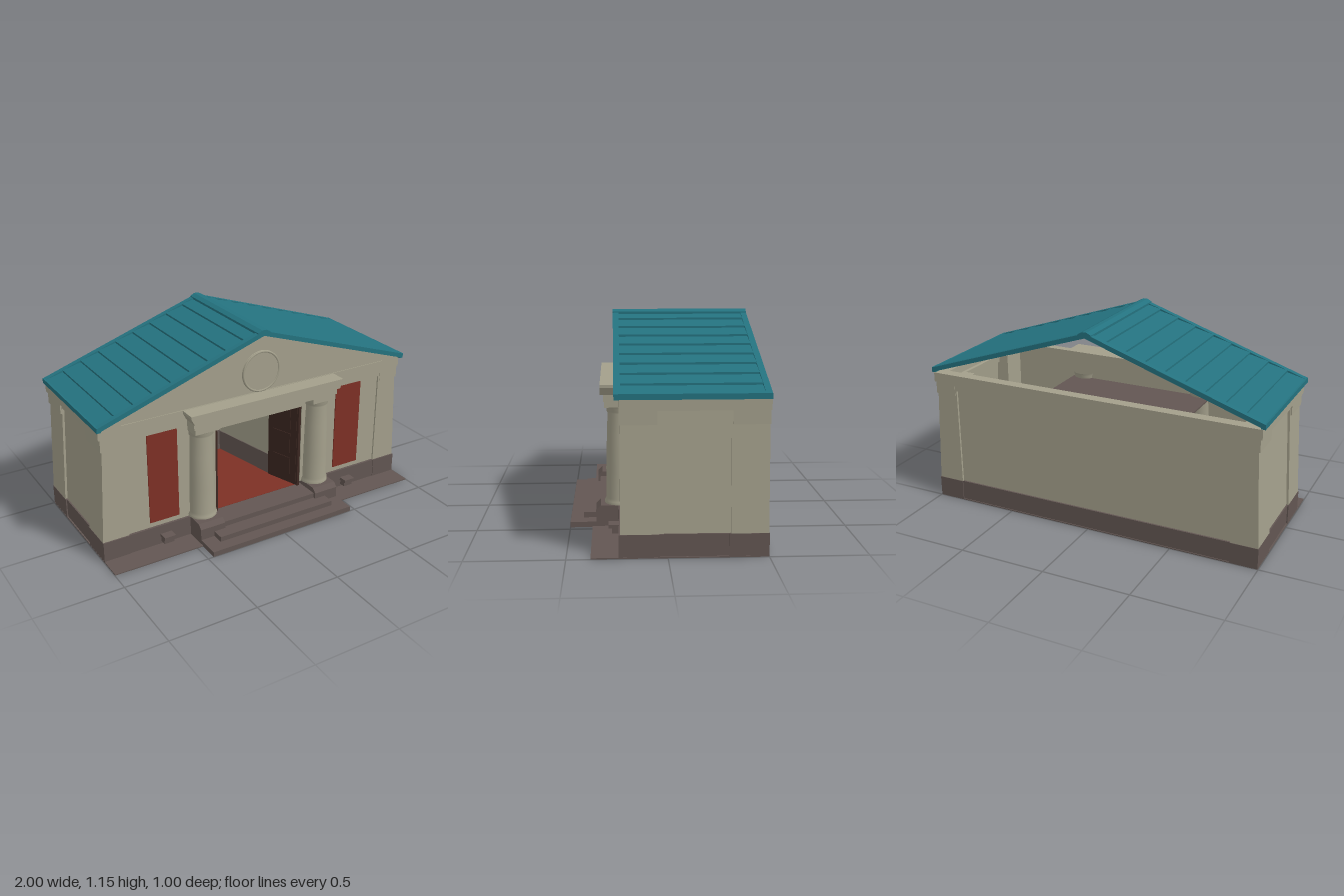
import * as THREE from 'three';

const paint = (name, color) => {
  const m = new THREE.MeshStandardMaterial({ color });
  m.name = name;
  return m;
};

export function createModel() {
  const stone = paint('pale stone', 0xa39f8b);
  const base = paint('brown stone', 0x62565280 >>> 8);
  const teal = paint('teal roof', 0x24727f);
  const red = paint('red cloth', 0x7d3025);
  const wood = paint('dark wood', 0x3c2721);

  const root = new THREE.Group();
  root.name = 'templeHall';

  const add = (name, geo, mat) => {
    const m = new THREE.Mesh(geo, mat);
    m.name = name;
    root.add(m);
    return m;
  };
  // Box given by its minimum and maximum corners
  const boxGeo = (x0, x1, y0, y1, z0, z1) =>
    new THREE.BoxGeometry(x1 - x0, y1 - y0, z1 - z0)
      .translate((x0 + x1) / 2, (y0 + y1) / 2, (z0 + z1) / 2);
  const box = (name, mat, ...b) => add(name, boxGeo(...b), mat);
  // Same, mirrored by s
  const sideBox = (name, mat, s, x0, x1, ...b) =>
    add(name, s > 0 ? boxGeo(x0, x1, ...b) : boxGeo(-x1, -x0, ...b), mat);
  // Lean the outer faces of the walls inwards with height
  const batter = (mesh) => {
    const p = mesh.geometry.attributes.position;
    for (let i = 0; i < p.count; i++) {
      const x = p.getX(i);
      if (Math.abs(x) > 0.9) p.setX(i, x - Math.sign(x) * 0.05 * (p.getY(i) - 0.12));
    }
    mesh.geometry.computeVertexNormals();
    return mesh;
  };
  const poly = (pts) => new THREE.Shape(pts.map(([x, y]) => new THREE.Vector2(x, y)));
  const extrude = (shape, z0, z1) =>
    new THREE.ExtrudeGeometry(shape, { depth: z1 - z0, bevelEnabled: false, curveSegments: 16 }).translate(0, 0, z0);
  // Upright board between two floor points
  const board = (name, mat, a, b, y0, y1, t) => {
    const dx = b[0] - a[0], dz = b[1] - a[1];
    const m = add(name, new THREE.BoxGeometry(t, y1 - y0, Math.hypot(dx, dz)), mat);
    m.position.set((a[0] + b[0]) / 2, (y0 + y1) / 2, (a[1] + b[1]) / 2);
    m.rotation.y = Math.atan2(dx, dz);
    return m;
  };

  // Ground slab, plinth, porch and steps
  box('groundSlab', base, -0.998, 0.998, 0, 0.006, -0.5, 0.38);
  box('plinth', base, -0.99, 0.99, 0, 0.088, -0.495, 0.235);
  box('plinthBack', base, -0.99, 0.99, 0, 0.12, -0.495, -0.44);
  box('porchFloor', base, -0.32, 0.32, 0, 0.09, 0.2, 0.345);
  box('upperStep', base, -0.38, 0.38, 0, 0.06, 0.33, 0.43);
  box('lowerStep', base, -0.465, 0.465, 0, 0.03, 0.33, 0.5);

  // Front wall with doorway
  const front = poly([[-0.95, 0.12], [-0.29, 0.12], [-0.29, 0.62], [0.29, 0.62], [0.29, 0.12],
    [0.95, 0.12], [0.95, 0.74], [-0.95, 0.74]]);
  add('frontWall', extrude(front, 0.19, 0.224), stone);
  box('doorLintel', stone, -0.3, 0.3, 0.62, 0.69, 0.2, 0.232);
  box('frontFrieze', stone, -0.9, 0.9, 0.69, 0.735, 0.2, 0.235);

  // Back wall and cornice
  box('backWall', stone, -0.9, 0.9, 0.12, 0.75, -0.485, -0.46);
  box('backFrieze', stone, -0.9, 0.9, 0.69, 0.735, -0.497, -0.46);
  box('backCornice', stone, -0.985, 0.985, 0.73, 0.785, -0.502, -0.44);
  box('frontCornice', stone, -0.985, 0.985, 0.73, 0.785, 0.19, 0.238);

  for (const s of [-1, 1]) {
    // Plinth edging under the walls
    sideBox('plinthFront', base, s, 0.46, 0.99, 0, 0.12, 0.18, 0.238);
    sideBox('plinthSide', base, s, 0.92, 0.99, 0, 0.12, -0.495, 0.235);
    sideBox('plinthCornerRear', base, s, 0.84, 0.997, 0, 0.12, -0.5, -0.3);
    sideBox('plinthCornerFront', base, s, 0.84, 0.997, 0, 0.12, 0.04, 0.242);

    // Side wall, corner pilasters and their caps
    batter(sideBox('sideWall', stone, s, 0.94, 0.982, 0.12, 0.74, -0.47, 0.21));
    batter(sideBox('frontPilaster', stone, s, 0.84, 0.995, 0.12, 0.74, 0.045, 0.234));
    batter(sideBox('rearPilaster', stone, s, 0.84, 0.995, 0.12, 0.74, -0.497, -0.31));
    batter(sideBox('sideFrieze', stone, s, 0.93, 0.995, 0.695, 0.74, -0.4, 0.2));
    sideBox('frontPilasterCap', stone, s, 0.85, 0.976, 0.66, 0.735, 0.05, 0.237);
    sideBox('rearPilasterCap', stone, s, 0.85, 0.976, 0.66, 0.735, -0.499, -0.315);
    sideBox('sideCornice', stone, s, 0.92, 0.985, 0.73, 0.785, -0.502, 0.238);

    // Red hanging on the front wall
    sideBox('redPanel', red, s, 0.53, 0.71, 0.15, 0.69, 0.223, 0.23);

    // Vent on the plinth
    sideBox('ventBody', base, s, 0.59, 0.65, 0.02, 0.05, 0.23, 0.275);
    sideBox('ventHood', base, s, 0.585, 0.655, 0.05, 0.068, 0.23, 0.292);

    // Pedestal with chamfered front edge
    const ped = extrude(poly([[0.18, 0], [0.36, 0], [0.36, 0.095], [0.335, 0.12], [0.18, 0.12]]), 0, 0.155);
    ped.rotateY(-Math.PI / 2).translate(s > 0 ? 0.465 : -0.31, 0, 0);
    add('pedestal', ped, base);

    // Column with moulded base and neck
    const profile = [[0.084, 0.12], [0.084, 0.135], [0.076, 0.15], [0.075, 0.3], [0.071, 0.5],
      [0.066, 0.62], [0.072, 0.63], [0.072, 0.645], [0.078, 0.66]].map(([r, y]) => new THREE.Vector2(r, y));
    add('column', new THREE.LatheGeometry(profile, 24).translate(s * 0.385, 0, 0.228), stone);
    sideBox('columnCapital', stone, s, 0.308, 0.462, 0.658, 0.69, 0.2, 0.312);

    // Open door leaf with raised panels and jamb
    const hinge = [s * 0.28, 0.2], tip = [s * 0.215, 0.0];
    board('doorLeaf', wood, hinge, tip, 0.09, 0.615, 0.018);
    const along = (t) => [hinge[0] + (tip[0] - hinge[0]) * t - s * 0.009, hinge[1] + (tip[1] - hinge[1]) * t];
    for (const [y0, y1] of [[0.13, 0.26], [0.29, 0.42], [0.45, 0.57]])
      board('doorPanel', wood, along(0.2), along(0.8), y0, y1, 0.009);
    sideBox('doorJamb', wood, s, 0.274, 0.292, 0.09, 0.62, 0.185, 0.218);

    // Hall wall and wainscot
    board('hallWall', stone, [s * 0.225, 0.0], [s * 0.13, -0.45], 0.09, 0.62, 0.012);
    board('hallWainscot', base, [s * 0.218, 0.0], [s * 0.124, -0.45], 0.09, 0.22, 0.01);
  }

  // Hall interior
  box('hallFloor', red, -0.29, 0.29, 0.086, 0.092, -0.45, 0.2);
  box('hallBackWall', base, -0.2, 0.2, 0.09, 0.62, -0.455, -0.445);
  box('hallCeiling', base, -0.45, 0.45, 0.62, 0.63, -0.42, 0.2);

  // Porch beam and entablature
  box('porchBeam', stone, -0.47, 0.47, 0.69, 0.732, 0.2, 0.316);
  add('entablature', extrude(poly([[-0.475, 0.73], [0.475, 0.73], [0.495, 0.77], [0.495, 0.785],
    [-0.495, 0.785], [-0.495, 0.77]]), 0.2, 0.335), stone);

  // Pediment: raking frame, tympanum with sunk fields, backing
  const gable = [[-0.985, 0.785], [0.985, 0.785], [0, 1.115]];
  const frame = poly(gable);
  frame.holes.push(poly([[-0.86, 0.787], [0, 1.078], [0.86, 0.787]]));
  add('pedimentFrame', new THREE.ShapeGeometry(frame).translate(0, 0, 0.24), stone);
  const tympanum = poly([[-0.88, 0.785], [0.88, 0.785], [0, 1.083]]);
  for (const s of [-1, 1]) {
    const field = new THREE.Path();
    field.moveTo(s * 0.71, 0.79);
    field.lineTo(s * 0.23, 1.01);
    field.quadraticCurveTo(s * 0.1, 0.88, s * 0.13, 0.79);
    field.closePath();
    tympanum.holes.push(field);
  }
  add('tympanum', new THREE.ShapeGeometry(tympanum).translate(0, 0, 0.231), stone);
  add('pedimentBacking', new THREE.ShapeGeometry(poly(gable)).translate(0, 0, 0.224), stone);
  add('medallion', new THREE.CylinderGeometry(0.118, 0.122, 0.008, 40)
    .rotateX(Math.PI / 2).translate(0, 0.905, 0.235), stone);
  add('medallionRim', new THREE.TorusGeometry(0.115, 0.007, 6, 40).translate(0, 0.905, 0.237), stone);

  // Roof: lapped boards between two plain end trims
  const slope = 0.335, eave = 0.785;
  const under = (x) => eave + slope * (1 - x);
  const roofShape = (laps, drop) => {
    const half = [[0.997, under(0.997)]];
    for (let i = 0; i < laps; i++) {
      const a = 0.997 - (0.997 * i) / laps, b = 0.997 - (0.997 * (i + 1)) / laps;
      half.push([a, under(a) + 0.027], [b, under(b) + 0.027 - drop]);
    }
    const left = half.slice(0, -1).reverse().map(([x, y]) => [-x, y]);
    return poly([...half, ...left, [0, under(0)]]);
  };
  add('roofBoards', extrude(roofShape(9, 0.011), -0.48, 0.24), teal);
  for (const z of [-0.502, 0.23])
    add('roofEndTrim', extrude(roofShape(1, 0), z, z + 0.032), teal);
  for (const s of [-1, 1]) {
    const trim = box('eaveTrim', teal, -0.012, 0.012, -0.014, 0.014, -0.502, 0.262);
    trim.position.set(s * 0.986, 0.801, 0);
  }
  add('ridgeCap', extrude(poly([[-0.038, 1.125], [0.038, 1.125], [0.038, 1.14], [0.012, 1.153],
    [-0.012, 1.153], [-0.038, 1.14]]), -0.502, 0.262), teal);

  return root;
}
